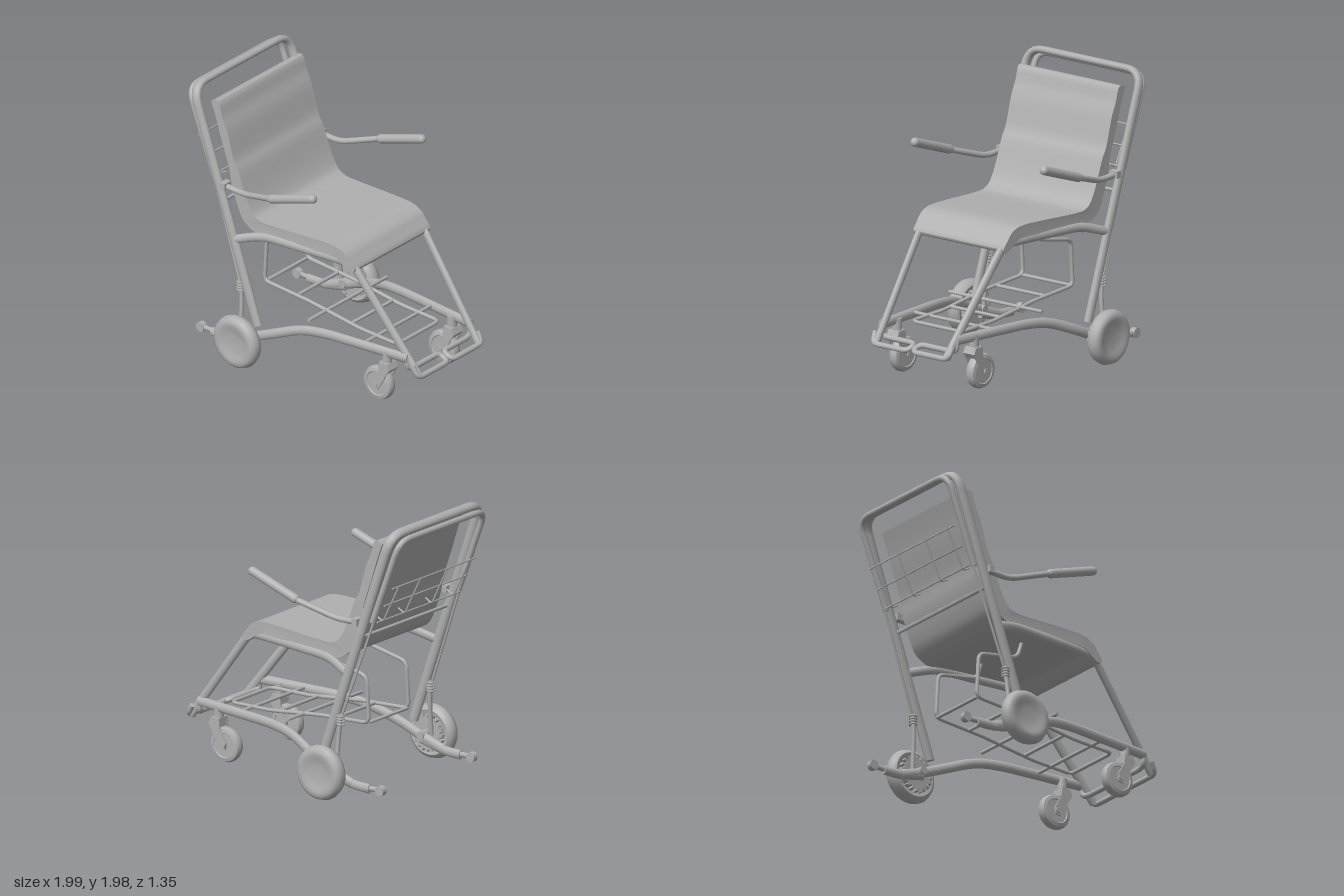
import * as THREE from 'three';
import { toCreasedNormals } from 'three/addons/utils/BufferGeometryUtils.js';

const V = (p) => new THREE.Vector3(...p);
const Z = [0, 0, 1];

// Path with its corners rounded to radius r
function roundPath(points, r) {
  const P = points.map(V), out = [P[0]];
  for (let i = 1; i < P.length - 1; i++) {
    const a = P[i - 1].clone().sub(P[i]), b = P[i + 1].clone().sub(P[i]);
    const d = Math.min(r, a.length() * 0.49, b.length() * 0.49);
    const curve = new THREE.QuadraticBezierCurve3(
      P[i].clone().addScaledVector(a.normalize(), d), P[i],
      P[i].clone().addScaledVector(b.normalize(), d));
    out.push(...curve.getPoints(6));
  }
  out.push(P[P.length - 1]);
  return out;
}

// Capped oval tube: rn is the radius along the given normal, rb across it
function tubeGeometry(points, rn, { rb = rn, normal = Z, bend = 0.08, sides = 12 } = {}) {
  const path = roundPath(points, bend), pos = [], idx = [];
  const n = V(normal), last = path.length - 1;
  path.forEach((p, i) => {
    const t = path[Math.min(i + 1, last)].clone().sub(path[Math.max(i - 1, 0)]).normalize();
    n.addScaledVector(t, -n.dot(t)).normalize();
    const b = t.clone().cross(n);
    for (let j = 0; j < sides; j++) {
      const a = j / sides * Math.PI * 2;
      const q = p.clone().addScaledVector(n, rn * Math.cos(a)).addScaledVector(b, rb * Math.sin(a));
      pos.push(q.x, q.y, q.z);
    }
  });
  for (let i = 0; i < last; i++) for (let j = 0; j < sides; j++) {
    const k = (j + 1) % sides, a = i * sides, b = a + sides;
    idx.push(a + j, a + k, b + j, a + k, b + k, b + j);
  }
  for (let j = 1; j < sides - 1; j++) {
    const e = last * sides;
    idx.push(0, j + 1, j, e, e + j, e + j + 1);
  }
  const g = new THREE.BufferGeometry();
  g.setAttribute('position', new THREE.Float32BufferAttribute(pos, 3));
  g.setIndex(idx);
  return toCreasedNormals(g, 0.9);
}

export function createModel() {
  const model = new THREE.Group();
  const grey = new THREE.MeshStandardMaterial({ color: 0xb0b0b0 });
  grey.name = 'grey';

  const add = (name, geo, x = 0, y = 0, z = 0) => {
    const m = new THREE.Mesh(geo, grey);
    m.name = name;
    m.position.set(x, y, z);
    model.add(m);
    return m;
  };
  const tube = (name, pts, r, opt) => add(name, tubeGeometry(pts, r, opt));
  // Straight bar across the chair
  const cross = (name, x, y, half, r) =>
    tube(name, [[x, y, -half], [x, y, half]], r, { normal: [0, 1, 0], sides: 8 });
  // Disc with its axis along z
  const disc = (name, x, y, z, r, w, seg = 24) =>
    add(name, new THREE.CylinderGeometry(r, r, w, seg).rotateX(Math.PI / 2), x, y, z);
  const lathe = (name, profile, s, x, y, z) => {
    const g = new THREE.LatheGeometry(profile.map((p) => new THREE.Vector2(...p)), 40);
    return add(name, toCreasedNormals(g.rotateX(s * Math.PI / 2), 0.7), x, y, z);
  };
  const plate = (pts, depth, smooth) => {
    const v = pts.map((p) => new THREE.Vector2(...p));
    const shape = smooth ? new THREE.Shape(new THREE.SplineCurve([...v, v[0]]).getPoints(90)) : new THREE.Shape(v);
    return new THREE.ExtrudeGeometry(shape, { depth, bevelEnabled: false }).translate(0, 0, -depth / 2);
  };

  // One-piece padded seat and back, narrowing towards the knees
  const seat = plate([[-0.8, 1.86], [-0.765, 1.878], [-0.73, 1.865], [-0.7, 1.77], [-0.655, 1.67], [-0.6, 1.48],
    [-0.555, 1.4], [-0.49, 1.23], [-0.43, 1.12], [-0.38, 1.085], [-0.3, 1.073], [0, 1.09], [0.2, 1.1], [0.3, 1.095],
    [0.37, 1.065], [0.41, 1.02], [0.45, 0.97], [0.44, 0.94], [0.41, 0.938], [0.36, 0.965], [0.31, 1.0], [0.24, 1.01],
    [0, 1.0], [-0.3, 0.98], [-0.39, 0.975], [-0.46, 1.0], [-0.53, 1.06], [-0.61, 1.26], [-0.64, 1.4], [-0.71, 1.6],
    [-0.755, 1.74]], 0.89, true);
  const sp = seat.attributes.position;
  for (let i = 0; i < sp.count; i++) {
    sp.setZ(i, sp.getZ(i) * (1 - 0.1 * Math.max(0, (sp.getX(i) + 0.4) / 0.85)));
  }
  add('seat', toCreasedNormals(seat, 0.5));

  // Main back hoop and the push handle behind it
  const lean = [0.94, 0.34, 0];
  tube('backFrame', [[-0.335, 0.3, 0.5], [-0.917, 1.955, 0.5], [-0.917, 1.955, -0.5], [-0.335, 0.3, -0.5]],
    0.037, { rb: 0.026, normal: lean, bend: 0.13 });
  tube('pushHandle', [[-0.74, 1.3, 0.475], [-0.977, 1.92, 0.475], [-0.977, 1.92, -0.475], [-0.74, 1.3, -0.475]],
    0.022, { normal: lean, bend: 0.11 });
  cross('backCrossbar', -0.635, 1.17, 0.5, 0.013);

  // Wire pocket on the back
  for (const [x, y] of [[-0.9, 1.565], [-0.83, 1.43], [-0.77, 1.3]]) cross('pocketBar', x, y, 0.46, 0.006);
  for (const z of [-0.39, -0.15, 0.15, 0.39]) {
    tube('pocketWire', [[-0.905, 1.57, z], [-0.765, 1.29, z], [-0.71, 1.32, z]], 0.006, { bend: 0.02, sides: 6 });
  }

  // Luggage rack: side rods joined by the front bend, with rungs
  const rackSide = [[-0.11, 1.0, 0.22], [-0.15, 0.875, 0.22], [-0.49, 0.805, 0.22], [-0.51, 0.475, 0.22],
    [-0.1, 0.455, 0.22], [0.35, 0.405, 0.22], [0.685, 0.4, 0.22]];
  const otherSide = rackSide.map(([x, y, z]) => [x, y, -z]).reverse();
  tube('luggageRack', [...rackSide, ...otherSide], 0.014, { bend: 0.05, sides: 8 });
  for (const [x, y, half] of [[-0.5, 0.475, 0.22], [-0.22, 0.46, 0.22], [0.05, 0.44, 0.41], [0.27, 0.415, 0.22],
    [0.5, 0.4, 0.37]]) cross('rackRung', x, y, half, 0.013);

  for (const s of [1, -1]) {
    const side = (pts) => pts.map(([x, y, z]) => [x, y, z * s]);

    // Seat rail running into the front leg
    tube('seatRailAndLeg', side([[-0.53, 0.905, 0.5], [-0.34, 0.97, 0.44], [0.25, 0.99, 0.39], [0.41, 0.985, 0.365],
      [0.96, 0.285, 0.31]]), 0.023, { rb: 0.032, bend: 0.1 });

    // Lower side rail ending in the rear anti-tip bar
    tube('lowerRail', side([[0.88, 0.4, 0.33], [0.2, 0.385, 0.4], [0, 0.36, 0.43], [-0.22, 0.27, 0.49],
      [-0.4, 0.19, 0.505], [-0.59, 0.125, 0.505]]), 0.026, { rb: 0.036, bend: 0.14 });
    tube('antiTipBar', side([[-0.4, 0.17, 0.505], [-0.6, 0.12, 0.505], [-0.74, 0.115, 0.505]]), 0.024, { rb: 0.034 });
    tube('antiTipNeck', side([[-0.72, 0.12, 0.505], [-0.83, 0.12, 0.505]]), 0.014, { rb: 0.02 });
    disc('antiTipRoller', -0.835, 0.12, s * 0.505, 0.035, 0.04, 18);

    // Armrest, pivot and grip
    add('armPivot', new THREE.BoxGeometry(0.045, 0.05, 0.07), -0.625, 1.29, s * 0.5);
    tube('armrest', side([[-0.63, 1.285, 0.5], [-0.45, 1.28, 0.5], [-0.16, 1.375, 0.572]]), 0.021, { bend: 0.07 });
    const grip = add('armGrip', new THREE.CapsuleGeometry(0.032, 0.39, 6, 16), 0.04, 1.445, s * 0.572);
    grip.rotation.z = Math.atan2(0.15, 0.43) - Math.PI / 2;

    // Footrest loop, folding to the inside
    tube('footrest', side([[0.87, 0.41, 0.33], [0.875, 0.325, 0.33], [0.89, 0.32, 0.27], [0.89, 0.32, 0.02],
      [0.975, 0.285, 0.02], [0.975, 0.285, 0.33], [0.93, 0.36, 0.34]]), 0.02, { bend: 0.055 });

    // Large rear wheel with dished cover, toothed inner ring and axle
    const wx = -0.41, wy = 0.2;
    lathe('rearWheel', [[0, -0.03], [0.12, -0.03], [0.13, -0.045], [0.16, -0.053], [0.183, -0.036], [0.195, 0],
      [0.183, 0.036], [0.16, 0.053], [0.13, 0.052], [0.1, 0.043], [0.06, 0.036], [0, 0.038]], s, wx, wy, s * 0.622);
    disc('brakeRing', wx, wy, s * 0.57, 0.115, 0.05, 32);
    for (let i = 0; i < 20; i++) {
      const a = i / 20 * Math.PI * 2;
      const tooth = add('brakeTooth', new THREE.BoxGeometry(0.025, 0.02, 0.04),
        wx + Math.cos(a) * 0.122, wy + Math.sin(a) * 0.122, s * 0.562);
      tooth.rotation.z = a;
    }
    disc('axle', wx, wy, s * 0.53, 0.03, 0.12, 16);

    // Brake rod, spring coils and linkage behind the upright
    tube('brakeCable', side([[-0.75, 1.3, 0.475], [-0.49, 0.58, 0.5]]), 0.009, { sides: 6 });
    tube('brakeRod', side([[-0.485, 0.6, 0.5], [-0.47, 0.45, 0.505], [-0.465, 0.2, 0.53]]), 0.016, { sides: 8 });
    for (let i = 0; i < 4; i++) {
      add('brakeSpring', new THREE.TorusGeometry(0.024, 0.007, 6, 14).rotateX(Math.PI / 2),
        -0.484, 0.53 + i * 0.02, s * 0.5);
    }

    // Front caster: wheel, forked arm and stem
    const cz = s * 0.34;
    lathe('casterWheel', [[0, -0.03], [0.085, -0.03], [0.09, -0.036], [0.115, -0.03], [0.124, -0.012],
      [0.124, 0.012], [0.115, 0.03], [0.09, 0.036], [0.085, 0.03], [0, 0.03]], s, 0.63, 0.137, cz);
    const arm = [[0.665, 0.32], [0.735, 0.32], [0.755, 0.28], [0.73, 0.24], [0.68, 0.15], [0.65, 0.1],
      [0.61, 0.11], [0.605, 0.16], [0.655, 0.25]];
    for (const e of [-1, 1]) add('casterFork', plate(arm, 0.012), 0, 0, cz + e * 0.043);
    add('casterCrown', plate([[0.665, 0.325], [0.735, 0.325], [0.755, 0.28], [0.73, 0.245], [0.66, 0.262]], 0.09),
      0, 0, cz);
    disc('casterAxle', 0.63, 0.137, cz, 0.022, 0.115, 16);
    add('casterStem', new THREE.CylinderGeometry(0.035, 0.035, 0.09, 18), 0.7, 0.36, cz);
  }
  return model;
}
